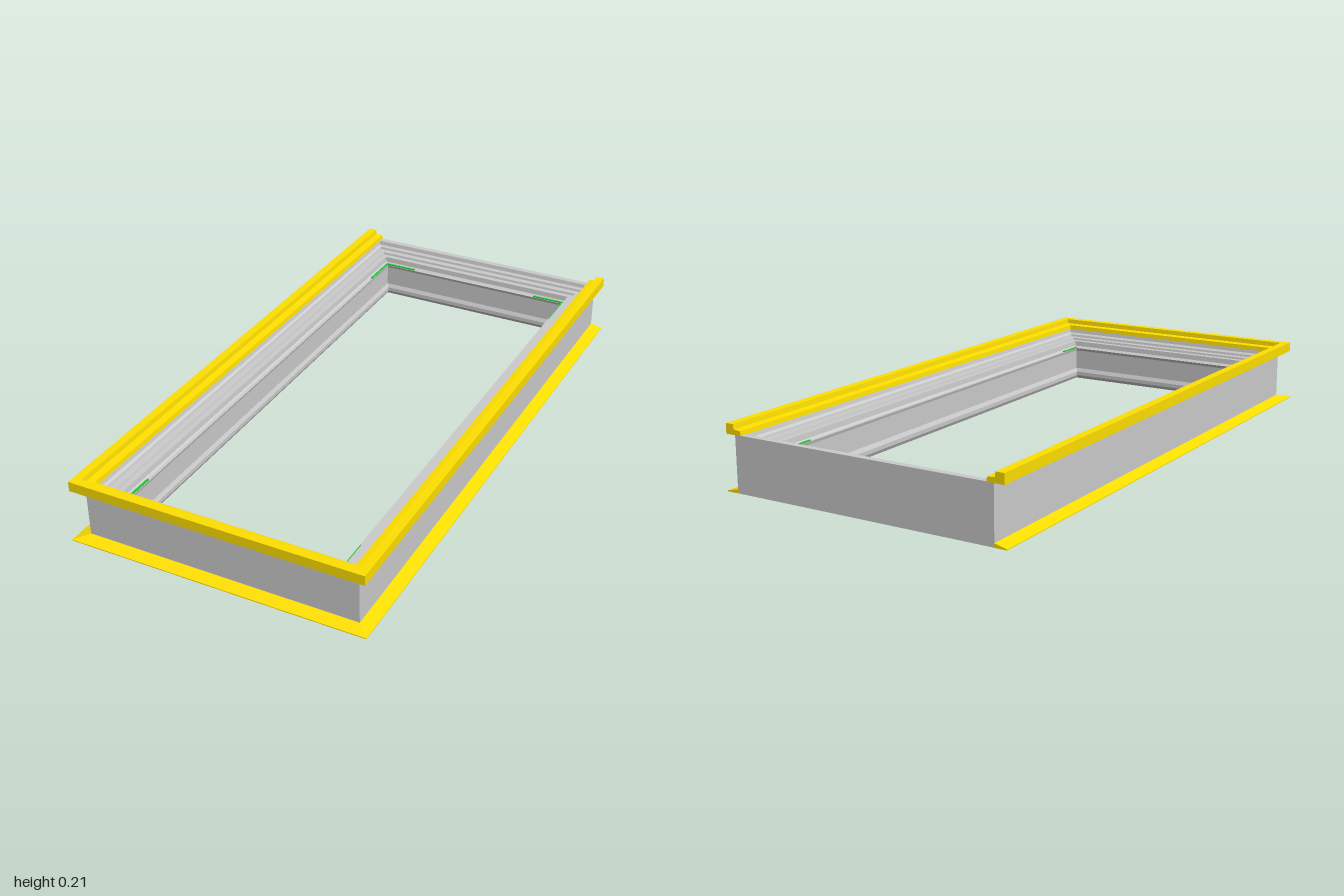
import * as THREE from 'three';

const grey = new THREE.MeshStandardMaterial({ color: 0xcccccc, flatShading: true });
const yellow = new THREE.MeshStandardMaterial({ color: 0xffe000, flatShading: true });
const green = new THREE.MeshStandardMaterial({ color: 0x22cc33, flatShading: true });

// d is the distance from the centre line; front and back sit at matching offsets
const frontZ = d => d + 0.5;
const backZ = d => -(d + 0.54);

const ringStations = [
  d => [d, frontZ(d)], d => [d, backZ(d)], d => [-d, backZ(d)], d => [-d, frontZ(d)],
];
const threeSidedStations = [
  d => [-d, -1], d => [-d, frontZ(d)], d => [d, frontZ(d)], d => [d, -1],
];

// Sweep a counterclockwise (d, y) profile through mitred corner stations
function sweep(name, profile, stations, closed, material) {
  const pos = [];
  const n = profile.length;
  const point = (s, i) => {
    const [d, y] = profile[i % n];
    const [x, z] = stations[s % stations.length](d);
    return [x, y, z];
  };
  const spans = closed ? stations.length : stations.length - 1;
  for (let s = 0; s < spans; s++) {
    for (let i = 0; i < n; i++) {
      const a = point(s, i), b = point(s + 1, i), c = point(s + 1, i + 1), e = point(s, i + 1);
      pos.push(...a, ...b, ...c, ...a, ...c, ...e);
    }
  }
  if (!closed) {
    const contour = profile.map(p => new THREE.Vector2(...p));
    for (const [a, b, c] of THREE.ShapeUtils.triangulateShape(contour, [])) {
      pos.push(...point(0, a), ...point(0, b), ...point(0, c));
      pos.push(...point(spans, a), ...point(spans, c), ...point(spans, b));
    }
  }
  const geo = new THREE.BufferGeometry();
  geo.setAttribute('position', new THREE.Float32BufferAttribute(pos, 3));
  geo.computeVertexNormals();
  const mesh = new THREE.Mesh(geo, material);
  mesh.name = name;
  return mesh;
}

export function createModel() {
  const model = new THREE.Group();
  model.name = 'rectangularFrame';

  // Main frame: stepped rebate inside, shallow grooves underneath
  model.add(sweep('frameBody', [
    [0.365, 0], [0.385, 0], [0.385, 0.008], [0.395, 0.008], [0.395, 0],
    [0.425, 0], [0.425, 0.008], [0.435, 0.008], [0.435, 0], [0.459, 0],
    [0.459, 0.182], [0.437, 0.182], [0.434, 0.168], [0.426, 0.162],
    [0.424, 0.154], [0.402, 0.154], [0.4, 0.146], [0.381, 0.146],
    [0.379, 0.128], [0.373, 0.122], [0.363, 0.122],
    [0.366, 0.112], [0.366, 0.04], [0.359, 0.026], [0.359, 0.012],
  ], ringStations, true, grey));

  // Top trim on the left, front and right
  model.add(sweep('topTrim', [
    [0.436, 0.181], [0.493, 0.181], [0.493, 0.214], [0.465, 0.214],
    [0.463, 0.198], [0.438, 0.196],
  ], threeSidedStations, false, yellow));

  // Tapered flange at the foot of the same three sides
  model.add(sweep('bottomFlange', [
    [0.455, 0], [0.5, 0], [0.5, 0.003], [0.46, 0.013], [0.455, 0.013],
  ], threeSidedStations, false, yellow));

  // Corner seals lying on the inner ledge
  const seals = new THREE.Group();
  seals.name = 'cornerSeals';
  const seal = (w, l, x, z) => {
    const mesh = new THREE.Mesh(new THREE.BoxGeometry(w, 0.005, l), green);
    mesh.position.set(x, 0.123, z);
    mesh.name = 'cornerSeal';
    seals.add(mesh);
  };
  for (const side of [-1, 1]) {
    seal(0.007, 0.14, side * 0.369, backZ(0.369) + 0.07);
    seal(0.007, 0.1, side * 0.369, frontZ(0.369) - 0.05);
    seal(0.12, 0.007, side * 0.31, backZ(0.369));
  }
  model.add(seals);
  return model;
}
